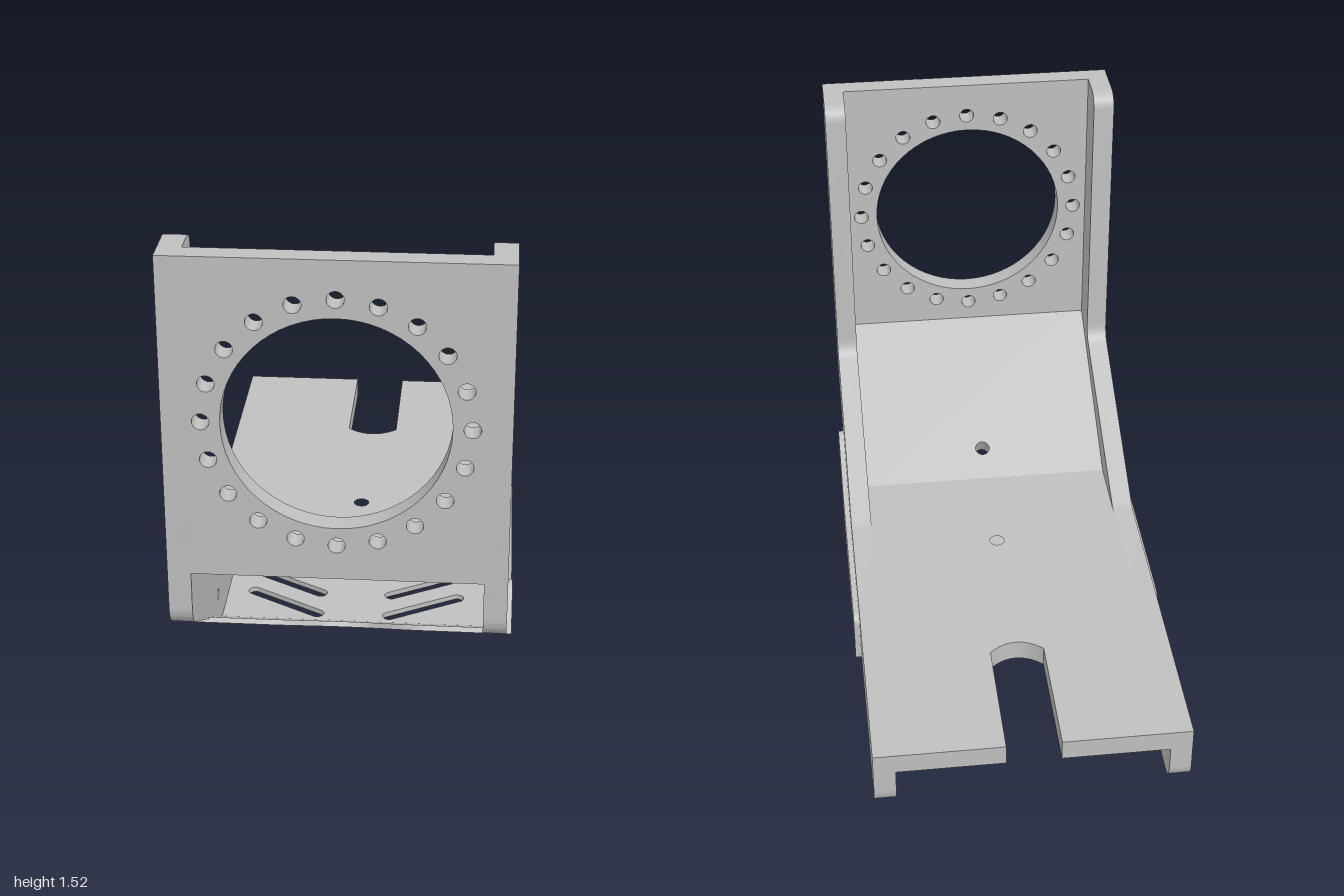
import * as THREE from 'three';
import { toCreasedNormals } from 'three/addons/utils/BufferGeometryUtils.js';

const metal = new THREE.MeshStandardMaterial({ color: 0xbfbfbf });
metal.name = 'grey metal';

// Polygon whose corners [x, y, t] are rounded over a tangent length t
function roundedShape(points) {
  const shape = new THREE.Shape();
  const n = points.length;
  const toward = (a, b, t) => {
    const p = new THREE.Vector2(a[0], a[1]);
    const d = new THREE.Vector2(b[0], b[1]).sub(p).normalize();
    return p.addScaledVector(d, t);
  };
  points.forEach((p, i) => {
    const t = p[2] || 0;
    const start = toward(p, points[(i + n - 1) % n], t);
    if (i === 0) shape.moveTo(start.x, start.y);
    else shape.lineTo(start.x, start.y);
    if (t) {
      const end = toward(p, points[(i + 1) % n], t);
      shape.quadraticCurveTo(p[0], p[1], end.x, end.y);
    }
  });
  shape.closePath();
  return shape;
}

function roundHole(shape, x, y, r) {
  shape.holes.push(new THREE.Path().absarc(x, y, r, 0, Math.PI * 2, true));
}

// Slot with round ends, of total length len and width 2r, turned by angle
function slotHole(shape, x, y, len, r, angle) {
  const h = len / 2 - r;
  const dx = Math.cos(angle) * h, dy = Math.sin(angle) * h;
  const path = new THREE.Path();
  path.absarc(x + dx, y + dy, r, angle - Math.PI / 2, angle + Math.PI / 2, false);
  path.absarc(x - dx, y - dy, r, angle + Math.PI / 2, angle + Math.PI * 1.5, false);
  path.closePath();
  shape.holes.push(path);
}

function extrude(name, shape, depth, curveSegments = 12) {
  const geo = new THREE.ExtrudeGeometry(shape, { depth, bevelEnabled: false, curveSegments });
  const mesh = new THREE.Mesh(toCreasedNormals(geo, 0.6), metal);
  mesh.name = name;
  return mesh;
}

// Sheet drawn in x and its own length, tilted back by angle (0 upright, PI/2 flat)
function panel(name, shape, depth, angle, y, z, segments) {
  const mesh = extrude(name, shape, depth, segments);
  mesh.rotation.x = angle;
  mesh.position.set(0, y, z);
  return mesh;
}

// Side sheet drawn in (z, y), spanning x0 to x0 + depth
function sidePanel(name, shape, x0, depth) {
  const mesh = extrude(name, shape, depth);
  mesh.rotation.y = -Math.PI / 2;
  mesh.position.x = x0 + depth;
  return mesh;
}

export function createModel() {
  const model = new THREE.Group();
  model.name = 'mountingBracket';
  const T = 0.07, IN = 0.43, OUT = 0.5, SHEET = 0.017;
  const boltHoles = [[0.5, 0.147], [-0.21, 0.09]];

  const bracket = new THREE.Group();
  bracket.name = 'bracket';

  // Upright face with a large bore and a ring of bolt holes
  const face = roundedShape([[-IN, 0.52], [IN, 0.52], [IN, 1.52], [-IN, 1.52]]);
  roundHole(face, 0, 1.017, 0.33);
  for (let i = 0; i < 20; i++) {
    const a = (i / 20) * Math.PI * 2;
    roundHole(face, Math.cos(a) * 0.386, 1.017 + Math.sin(a) * 0.386, 0.025);
  }
  bracket.add(panel('facePlate', face, T, 0, 0, 1 - T, 32));

  // Sloping web between the face and the base
  const web = roundedShape([[-IN, 0], [IN, 0], [IN, 0.7187], [-IN, 0.7187]]);
  roundHole(web, 0, 0.138, 0.025);
  bracket.add(panel('slopedPlate', web, T, Math.PI / 3, 0.2206, 0.343));

  // Flat base with an open slot at the back
  const base = new THREE.Shape();
  base.moveTo(-IN, 0.378);
  base.lineTo(IN, 0.378);
  base.lineTo(IN, -1);
  base.lineTo(0.087, -1);
  base.lineTo(0.087, -0.57);
  base.quadraticCurveTo(0.045, -0.53, 0, -0.53);
  base.quadraticCurveTo(-0.045, -0.53, -0.087, -0.57);
  base.lineTo(-0.087, -1);
  base.lineTo(-IN, -1);
  base.closePath();
  roundHole(base, 0, 0, 0.025);
  bracket.add(panel('basePlate', base, T, Math.PI / 2, 0.23, 0));

  // Bent side flanges
  const flange = roundedShape([
    [1, 1.52], [0.79, 1.52, 0.06], [0.79, 0.54, 0.045], [0.13, 0.23, 0.03],
    [-1, 0.23], [-1, 0.02, 0.065], [0.43, 0.02], [1, 0.352, 0.05],
  ]);
  boltHoles.forEach(([z, y]) => roundHole(flange, z, y, 0.018));
  bracket.add(sidePanel('leftFlange', flange, IN, OUT - IN));
  bracket.add(sidePanel('rightFlange', flange, -OUT, OUT - IN));
  model.add(bracket);

  const guard = new THREE.Group();
  guard.name = 'skidGuard';

  // Sheet from one plain edge to one edge with a smooth scallop
  const scalloped = (plain, edge, depth) => {
    const s = new THREE.Shape();
    const low = edge + Math.sign(plain - edge) * depth;
    s.moveTo(-OUT, plain);
    s.lineTo(OUT, plain);
    s.lineTo(OUT, edge);
    s.lineTo(0.27, edge);
    s.bezierCurveTo(0.13, edge, 0.12, low, 0, low);
    s.bezierCurveTo(-0.12, low, -0.13, edge, -0.27, edge);
    s.lineTo(-OUT, edge);
    s.closePath();
    return s;
  };

  // Floor with angled vent slots
  const floor = scalloped(0.43, -0.29, 0.14);
  for (const side of [1, -1]) {
    for (let i = 0; i < 4; i++) {
      slotHole(floor, side * 0.23, 0.32 - i * 0.13, 0.3, 0.022, -side * Math.PI / 6);
    }
  }
  guard.add(panel('guardFloor', floor, SHEET, Math.PI / 2, SHEET, 0));

  // Upturned front of the guard
  const tilt = THREE.MathUtils.degToRad(31.3);
  guard.add(panel('guardFront', scalloped(0, 0.3276, 0.14), SHEET, Math.PI / 2 - tilt,
    SHEET * Math.cos(tilt), 0.43 - SHEET * Math.sin(tilt)));

  // Side tabs with adjustment slots
  const tab = roundedShape([
    [0.71, 0.17], [0.63, 0.3, 0.035], [0.59, 0.298, 0.01], [0.385, 0.175],
    [-0.29, 0.175, 0.04], [-0.29, 0], [0.43, 0],
  ]);
  boltHoles.forEach(([z, y]) => slotHole(tab, z, y, 0.09, 0.025, 0));
  guard.add(sidePanel('leftTab', tab, OUT, 0.019));
  guard.add(sidePanel('rightTab', tab, -OUT - 0.019, 0.019));
  model.add(guard);

  return model;
}
